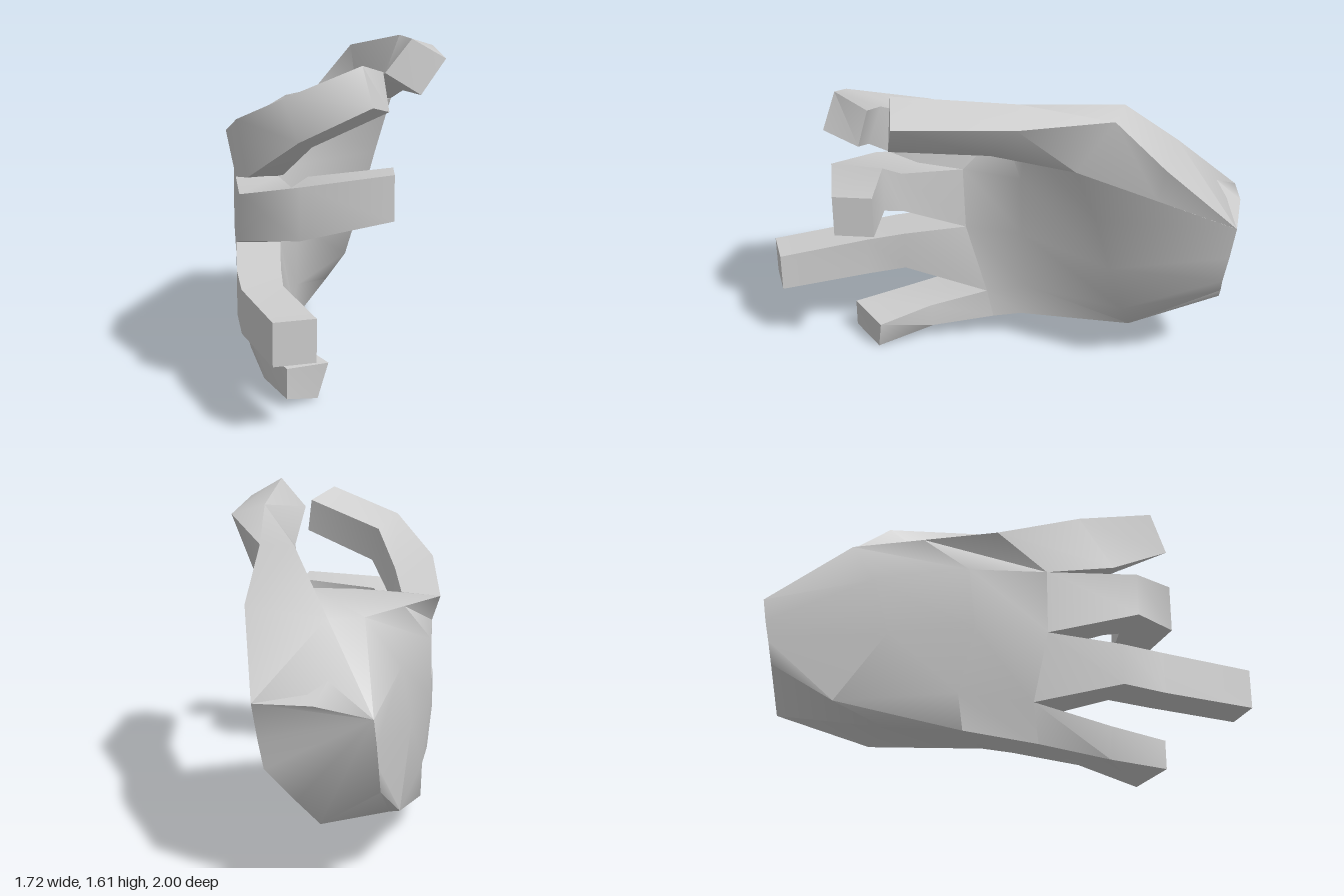
import * as THREE from 'three';
import { toCreasedNormals } from 'three/addons/utils/BufferGeometryUtils.js';

const material = new THREE.MeshStandardMaterial({ color: 0xcccccc, side: THREE.DoubleSide });

// Skin a row of equal-sized rings; rings run counter-clockwise seen from the far end.
function loft(name, rings, capStart, capEnd) {
  const pos = [];
  const tri = (a, b, c) => pos.push(...a, ...b, ...c);
  const n = rings[0].length;
  for (let r = 0; r < rings.length - 1; r++) {
    const a = rings[r], b = rings[r + 1];
    for (let i = 0; i < n; i++) {
      const j = (i + 1) % n;
      tri(a[i], a[j], b[j]);
      tri(a[i], b[j], b[i]);
    }
  }
  const first = rings[0], last = rings[rings.length - 1];
  for (let i = 1; i < n - 1; i++) {
    if (capStart) tri(first[0], first[i + 1], first[i]);
    if (capEnd) tri(last[0], last[i], last[i + 1]);
  }
  const geo = new THREE.BufferGeometry();
  geo.setAttribute('position', new THREE.Float32BufferAttribute(pos, 3));
  const mesh = new THREE.Mesh(toCreasedNormals(geo, 1.15), material);
  mesh.name = name;
  return mesh;
}

// Upright finger section: outer and inner [x, z], top and bottom height.
const section = ([xo, zo], [xi, zi], top, bottom) =>
  [[xo, top, zo], [xo, bottom, zo], [xi, bottom, zi], [xi, top, zi]];

export function createModel() {
  const hand = new THREE.Group();
  hand.name = 'hand';

  // Knuckle line: points on the back of the hand and on the palm side, top to bottom
  const back = [[-0.23, 1.13, 0.3], [-0.03, 0.945, 0.43], [-0.03, 0.63, 0.43], [-0.07, 0.285, 0.37], [-0.02, 0.1, 0.35]];
  const front = [[-0.08, 1.14, 0.18], [0.1, 0.945, 0.28], [0.1, 0.625, 0.265], [0.07, 0.285, 0.145], [0.05, 0.135, 0.12]];
  const base = (i) => [back[i], back[i + 1], front[i + 1], front[i]];

  // Palm: wrist, thumb level, hollow of the palm, knuckles
  const wrist = [
    [-0.865, 0.88, -0.66], [-0.86, 0.76, -0.64], [-0.85, 0.65, -0.62], [-0.84, 0.53, -0.6], [-0.65, 0.37, -0.78],
    [-0.57, 0.47, -0.85], [-0.46, 0.61, -0.94], [-0.46, 0.75, -0.97], [-0.46, 0.92, -1], [-0.68, 0.93, -0.84],
  ];
  const middle = [
    [-0.52, 1.21, -0.42], [-0.54, 0.95, -0.22], [-0.52, 0.65, -0.14], [-0.67, 0.32, -0.34], [-0.46, 0.215, -0.22],
    [-0.3, 0.23, -0.5], [-0.2, 0.38, -0.54], [-0.1, 0.65, -0.54], [0, 0.95, -0.54], [0.12, 1.24, -0.52],
  ];
  const hollow = [
    [-0.375, 1.17, -0.06], [-0.3, 0.95, 0.18], [-0.28, 0.65, 0.2], [-0.31, 0.33, 0.12], [-0.29, 0.15, 0.13],
    [-0.05, 0.155, 0.02], [-0.06, 0.33, -0.02], [-0.04, 0.64, 0], [-0.03, 0.95, 0], [-0.01, 1.18, -0.05],
  ];
  hand.add(loft('palm', [wrist, middle, hollow, [...back, ...[...front].reverse()]], true, false));

  // Thumb: ridge, web side, palm side, back
  hand.add(loft('thumb', [
    [[-0.865, 0.88, -0.66], [-0.85, 0.87, -0.66], [-0.46, 0.91, -0.995], [-0.46, 0.92, -1]],
    [[-0.48, 1.23, -0.6], [-0.52, 1.21, -0.42], [-0.17, 1.08, -0.76], [-0.16, 1.26, -0.81]],
    [[-0.17, 1.49, -0.54], [0.07, 1.24, -0.32], [0.12, 1.24, -0.52], [-0.02, 1.48, -0.62]],
    [[0.31, 1.58, -0.35], [0.31, 1.36, -0.17], [0.42, 1.34, -0.28], [0.43, 1.53, -0.46]],
    [[0.71, 1.61, 0.05], [0.64, 1.46, 0.15], [0.75, 1.36, 0.03], [0.81, 1.52, -0.07]],
  ], true, true));

  // Index finger, rising and bent inward
  hand.add(loft('indexFinger', [
    base(0),
    [[0.09, 1.24, 0.54], [0.24, 1.0, 0.62], [0.27, 0.99, 0.42], [0.13, 1.2, 0.32]],
    [[0.5, 1.38, 0.66], [0.6, 1.2, 0.67], [0.51, 1.15, 0.49], [0.44, 1.33, 0.475]],
    [[0.74, 1.52, 0.42], [0.81, 1.345, 0.43], [0.75, 1.305, 0.25], [0.7, 1.475, 0.235]],
  ], false, true));

  // Middle finger, bent inward
  hand.add(loft('middleFinger', [
    base(1),
    section([0.29, 0.72], [0.35, 0.45], 0.945, 0.735),
    section([0.61, 0.67], [0.46, 0.46], 1.01, 0.775),
    section([0.855, 0.335], [0.73, 0.195], 1.05, 0.845),
  ], false, true));

  // Ring finger, nearly straight
  hand.add(loft('ringFinger', [
    base(2),
    section([0.22, 0.67], [0.32, 0.49], 0.575, 0.375),
    section([0.37, 0.79], [0.46, 0.62], 0.54, 0.34),
    section([0.76, 0.995], [0.85, 0.825], 0.51, 0.32),
  ], false, true));

  // Little finger
  hand.add(loft('littleFinger', [
    base(3),
    [[0.25, 0.205, 0.56], [0.26, 0.05, 0.54], [0.28, 0.08, 0.33], [0.28, 0.19, 0.35]],
    [[0.52, 0.18, 0.66], [0.52, 0.04, 0.66], [0.53, 0, 0.47], [0.55, 0.16, 0.42]],
  ], false, true));

  return hand;
}
